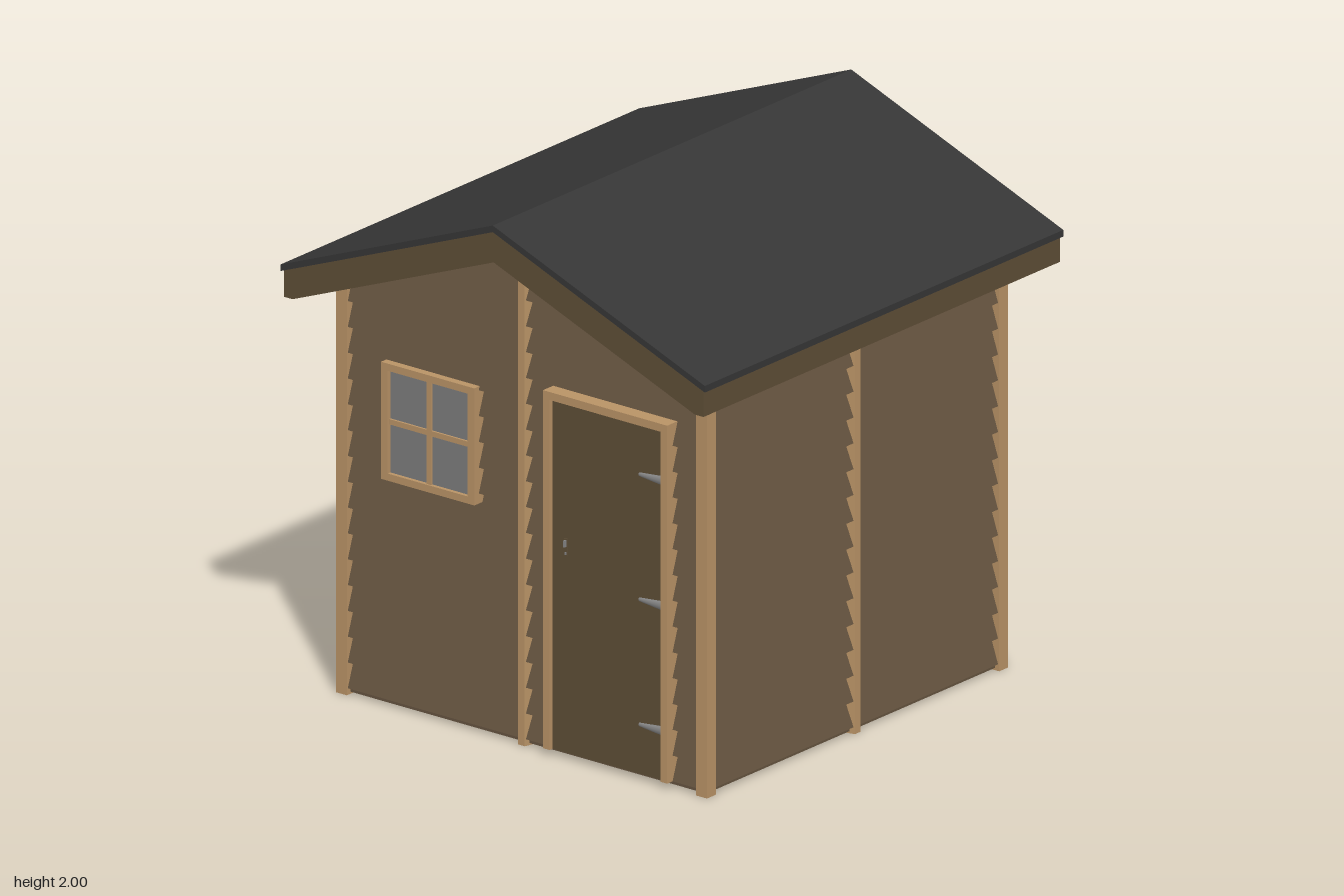
import * as THREE from 'three';

const mat = (name, color, side = THREE.FrontSide) => {
  const m = new THREE.MeshStandardMaterial({ color, side });
  m.name = name;
  return m;
};

export function createModel() {
  const wall = mat('wallBoards', 0x65533f, THREE.DoubleSide);
  const darkWood = mat('doorWood', 0x5d4d36);
  const trim = mat('lightTrim', 0xb99366);
  const felt = mat('roofFelt', 0x363636);
  const glass = mat('glass', 0x7c7c7c);
  const steel = mat('steel', 0x858585);

  const shed = new THREE.Group();
  shed.name = 'gardenShed';

  const add = (parent, name, geo, material, x = 0, y = 0, z = 0) => {
    const mesh = new THREE.Mesh(geo, material);
    mesh.name = name;
    mesh.position.set(x, y, z);
    parent.add(mesh);
    return mesh;
  };
  // Box given by its limits on each axis
  const box = (parent, name, material, x0, x1, y0, y1, z0, z1) =>
    add(parent, name, new THREE.BoxGeometry(x1 - x0, y1 - y0, z1 - z0), material,
      (x0 + x1) / 2, (y0 + y1) / 2, (z0 + z1) / 2);

  // Lapped siding facing +z: each board leans out towards its lower edge
  const PITCH = 0.097, SLOPE = 0.39, INNER = 0.805, OUTER = 0.835;
  const siding = (top, halfAt) => {
    const rows = [[0.015, INNER]];
    for (let y = 0.016; y < top - 0.01; y += PITCH) {
      rows.push([y, INNER], [y + 0.009, OUTER]);
    }
    rows.push([top, INNER]);
    const p = [];
    for (let i = 0; i < rows.length - 1; i++) {
      const [y0, z0] = rows[i], [y1, z1] = rows[i + 1];
      const a = halfAt(y0), b = halfAt(y1);
      p.push(-a, y0, z0, a, y0, z0, b, y1, z1, -a, y0, z0, b, y1, z1, -b, y1, z1);
    }
    const geo = new THREE.BufferGeometry();
    geo.setAttribute('position', new THREE.Float32BufferAttribute(p, 3));
    geo.computeVertexNormals();
    return geo;
  };
  const gable = siding(1.93, y => Math.max(0.001, Math.min(0.82, (1.94 - y) / SLOPE)));
  const plain = siding(1.62, () => 0.82);

  // Middle batten with tapered flanks
  const batten = height => {
    const s = new THREE.Shape([[-0.025, 0], [0.025, 0], [0.015, 0.04], [-0.015, 0.04]]
      .map(([x, y]) => new THREE.Vector2(x, y)));
    return new THREE.ExtrudeGeometry(s, { depth: height, bevelEnabled: false })
      .rotateX(-Math.PI / 2).rotateY(Math.PI);
  };

  // Four walls, each with its middle batten
  ['front', 'left', 'back', 'right'].forEach((side, i) => {
    const g = new THREE.Group();
    g.name = side + 'Wall';
    g.rotation.y = i * Math.PI / 2;
    add(g, 'siding', i % 2 ? plain : gable, wall);
    add(g, 'batten', batten(i % 2 ? 1.62 : 1.92), trim, 0, 0, 0.80);
    shed.add(g);
  });

  // Corner posts and floor
  for (const sx of [-1, 1]) for (const sz of [-1, 1]) {
    add(shed, 'cornerPost', new THREE.BoxGeometry(0.05, 1.62, 0.05), trim, sx * 0.815, 0.81, sz * 0.815);
  }
  box(shed, 'floor', wall, -0.82, 0.82, 0.008, 0.02, -0.82, 0.82);

  // Roof layers: chevrons extruded from front to back
  const chevron = (half, ridge, thick, depth, minY = 0) => {
    const low = ridge - half * SLOPE, under = low - thick;
    const cut = Math.max(under, minY);
    const xc = (ridge - thick - cut) / SLOPE;
    const pts = [[0, ridge], [-half, low], [-half, cut], [-xc, cut],
      [0, ridge - thick], [xc, cut], [half, cut], [half, low]];
    const s = new THREE.Shape(pts.map(([x, y]) => new THREE.Vector2(x, y)));
    return new THREE.ExtrudeGeometry(s, { depth, bevelEnabled: false }).translate(0, 0, -depth / 2);
  };
  add(shed, 'roofFelt', chevron(0.96, 2, 0.025, 2), felt);
  add(shed, 'roofDeck', chevron(0.94, 1.976, 0.03, 1.96), darkWood);
  for (const s of [-1, 1]) {
    add(shed, 'bargeBoard', chevron(0.95, 1.975, 0.115, 0.03, 1.505), darkWood, 0, 0, s * 0.98);
    add(shed, 'eaveFascia', new THREE.BoxGeometry(0.025, 0.1, 1.98), darkWood, s * 0.937, 1.555, 0);
  }

  // Window facing +z, centred on its own x = 0
  const makeWindow = () => {
    const g = new THREE.Group();
    g.name = 'window';
    box(g, 'glass', glass, -0.19, 0.19, 0.87, 1.29, 0.8385, 0.845);
    for (const s of [-1, 1]) {
      add(g, 'frameSide', new THREE.BoxGeometry(0.03, 0.44, 0.06), trim, s * 0.196, 1.08, 0.83);
      add(g, 'frameRail', new THREE.BoxGeometry(0.362, 0.027, 0.06), trim, 0, 1.08 + s * 0.2065, 0.83);
    }
    box(g, 'mullion', trim, -0.01, 0.01, 0.88, 1.28, 0.82, 0.854);
    box(g, 'crossBar', trim, -0.185, 0.185, 1.07, 1.09, 0.82, 0.853);
    return g;
  };
  const frontWindow = makeWindow();
  frontWindow.position.x = -0.408;
  shed.add(frontWindow);
  for (const z of [-0.41, 0.41]) {
    const w = makeWindow();
    w.rotation.y = -Math.PI / 2;
    w.position.z = z;
    shed.add(w);
  }

  // Door with frame, hinges and handle
  const door = new THREE.Group();
  door.name = 'door';
  box(door, 'doorPanel', darkWood, 0.14, 0.66, 0.025, 1.35, 0.81, 0.848);
  box(door, 'frameLeft', trim, 0.65, 0.68, 0.025, 1.37, 0.8, 0.865);
  box(door, 'frameRight', trim, 0.118, 0.148, 0.025, 1.37, 0.8, 0.865);
  box(door, 'frameTop', trim, 0.148, 0.65, 1.34, 1.37, 0.8, 0.865);
  for (const y of [0.21, 0.68, 1.15]) {
    const hinge = add(door, 'hinge',
      new THREE.CylinderGeometry(0.007, 0.018, 0.11, 12).rotateZ(Math.PI / 2), steel, 0.595, y, 0.848);
    hinge.scale.z = 0.6;
  }
  box(door, 'handlePlate', darkWood, 0.203, 0.217, 0.765, 0.83, 0.845, 0.852);
  box(door, 'handleLever', steel, 0.207, 0.213, 0.80, 0.825, 0.85, 0.862);
  box(door, 'keyhole', steel, 0.207, 0.213, 0.77, 0.78, 0.85, 0.855);
  shed.add(door);

  return shed;
}
